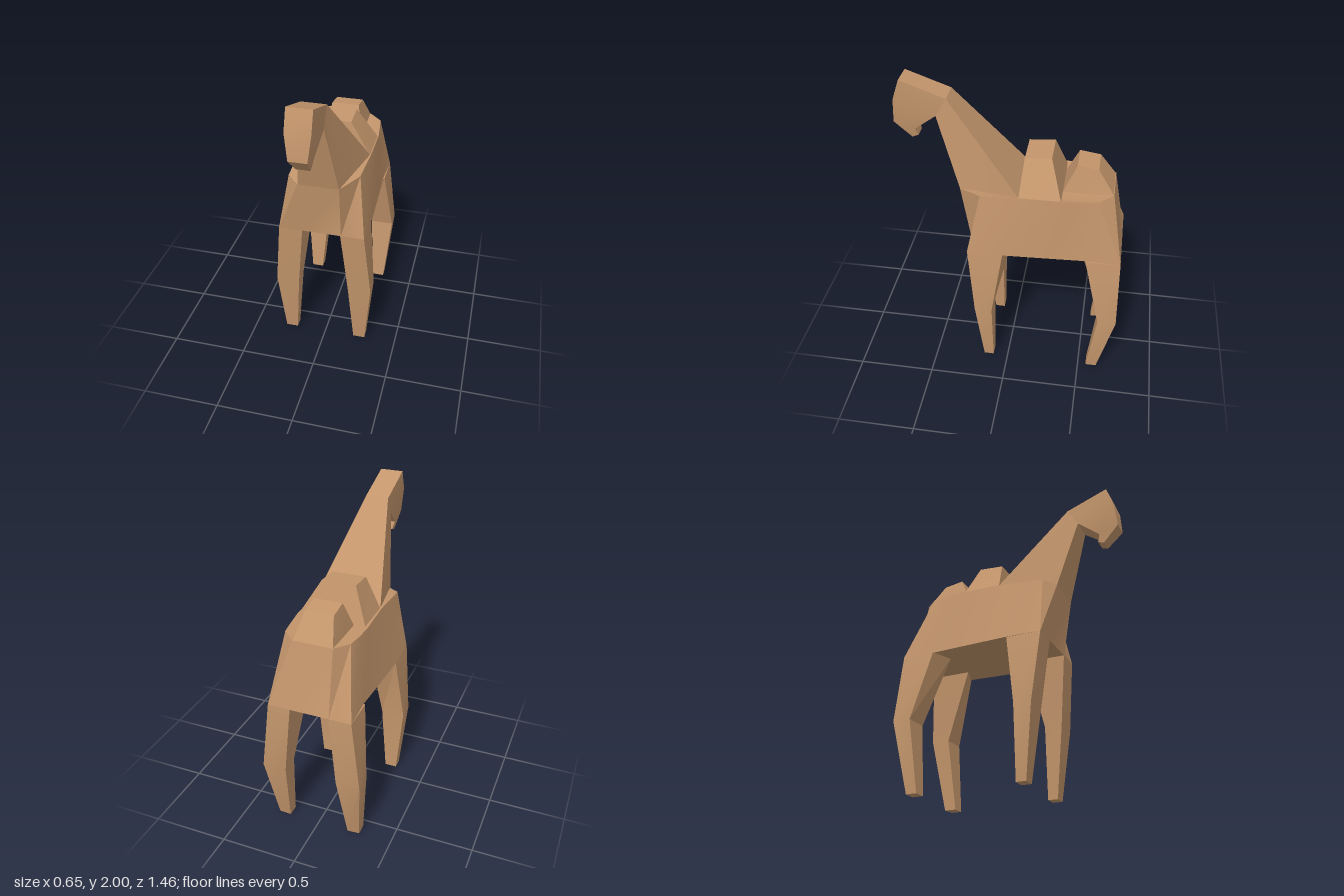
import * as THREE from 'three';
import { toCreasedNormals } from 'three/addons/utils/BufferGeometryUtils.js';

// Closed loft through rings of [x, y, z]; rings run counter-clockwise seen along the path's end.
function loft(rings, crease = 0.25) {
  const n = rings[0].length;
  const index = [];
  for (let r = 0; r < rings.length - 1; r++) {
    for (let i = 0; i < n; i++) {
      const j = (i + 1) % n;
      const a = r * n + i, b = r * n + j, c = b + n, d = a + n;
      index.push(a, b, c, a, c, d);
    }
  }
  const last = (rings.length - 1) * n;
  for (let i = 1; i < n - 1; i++) {
    index.push(0, i + 1, i, last, last + i, last + i + 1);
  }
  const geometry = new THREE.BufferGeometry();
  geometry.setAttribute('position', new THREE.Float32BufferAttribute(rings.flat(2), 3));
  geometry.setIndex(index);
  return toCreasedNormals(geometry, crease);
}

// Four-cornered ring at x0..x1, with a back edge and a front edge given as [y, z].
const quad = (x0, x1, back, front) => [
  [x1, ...back], [x0, ...back], [x0, ...front], [x1, ...front],
];

export function createModel() {
  const group = new THREE.Group();
  const tan = new THREE.MeshStandardMaterial({ color: 0xc4966c });
  tan.name = 'tan hide';
  const add = (name, geometry) => {
    const mesh = new THREE.Mesh(geometry, tan);
    mesh.name = name;
    group.add(mesh);
  };

  // Trunk: belly outline rising to a narrower back
  const belly = [
    [0.13, 0.26], [0.28, 0.26], [0.285, 0.02], [0.27, -0.3], [0.26, -0.5], [0.27, -0.72], [0.127, -0.72],
    [-0.127, -0.72], [-0.27, -0.72], [-0.26, -0.5], [-0.27, -0.3], [-0.285, 0.02], [-0.28, 0.26], [-0.13, 0.26],
  ].map(([x, z]) => [x, 0.925, z]);
  const back = [
    [0.13, 1.31, 0.32], [0.23, 1.335, 0.175], [0.247, 1.355, -0.065], [0.245, 1.355, -0.33],
    [0.23, 1.355, -0.45], [0.215, 1.355, -0.55], [0.127, 1.355, -0.64],
    [-0.127, 1.355, -0.64], [-0.2, 1.355, -0.55], [-0.215, 1.355, -0.45], [-0.22, 1.355, -0.33],
    [-0.21, 1.355, -0.065], [-0.205, 1.325, 0.25], [-0.13, 1.31, 0.32],
  ];
  add('body', loft([belly, back], 0.5));

  // Neck: wide wedge tapering to the head
  const nape = quad(-0.075, 0.075, [1.9, 0.39], [1.78, 0.46]);
  add('neck', loft([
    [[0.24, 1.355, -0.065], [-0.2, 1.355, -0.065], [-0.13, 1.31, 0.32], [0.13, 1.31, 0.32]],
    nape,
  ]));

  // Head: bends forward and down to a narrow muzzle
  add('head', loft([
    nape,
    quad(-0.075, 0.075, [2.0, 0.67], [1.78, 0.46]),
    quad(-0.075, 0.075, [1.87, 0.715], [1.78, 0.46]),
    quad(-0.055, 0.055, [1.71, 0.73], [1.67, 0.6]),
    quad(-0.042, 0.042, [1.605, 0.625], [1.62, 0.585]),
  ]));

  // Humps: tapered blocks
  add('frontHump', loft([
    quad(-0.2, 0.24, [1.35, -0.325], [1.35, -0.065]),
    quad(-0.11, 0.11, [1.572, -0.25], [1.56, -0.085]),
  ]));
  add('rearHump', loft([
    quad(-0.127, 0.127, [1.35, -0.64], [1.35, -0.325]),
    quad(-0.09, 0.09, [1.505, -0.535], [1.525, -0.405]),
  ]));

  // Legs: hoof, knee and hip rings; [inner x, outer x, y, inner back z, outer back z, inner front z, outer front z]
  const legs = {
    front: [
      [0.205, 0.285, 0, 0.1, 0.1, 0.165, 0.165],
      [0.17, 0.325, 0.465, 0.1, 0.1, 0.215, 0.215],
      [0.125, 0.28, 0.925, -0.01, 0.03, 0.26, 0.26],
    ],
    hind: [
      [0.205, 0.285, 0, -0.632, -0.627, -0.555, -0.555],
      [0.17, 0.325, 0.465, -0.73, -0.73, -0.61, -0.61],
      [0.125, 0.27, 0.925, -0.72, -0.72, -0.45, -0.5],
    ],
  };
  for (const [name, rows] of Object.entries(legs)) {
    for (const side of [1, -1]) {
      const rings = rows.map(([xi, xo, y, bi, bo, fi, fo]) => {
        const ring = [[xo, bo], [xi, bi], [xi, fi], [xo, fo]].map(([x, z]) => [side * x, y, z]);
        return side > 0 ? ring : ring.reverse();
      });
      add(`${name}Leg${side > 0 ? 'Left' : 'Right'}`, loft(rings));
    }
  }
  return group;
}
